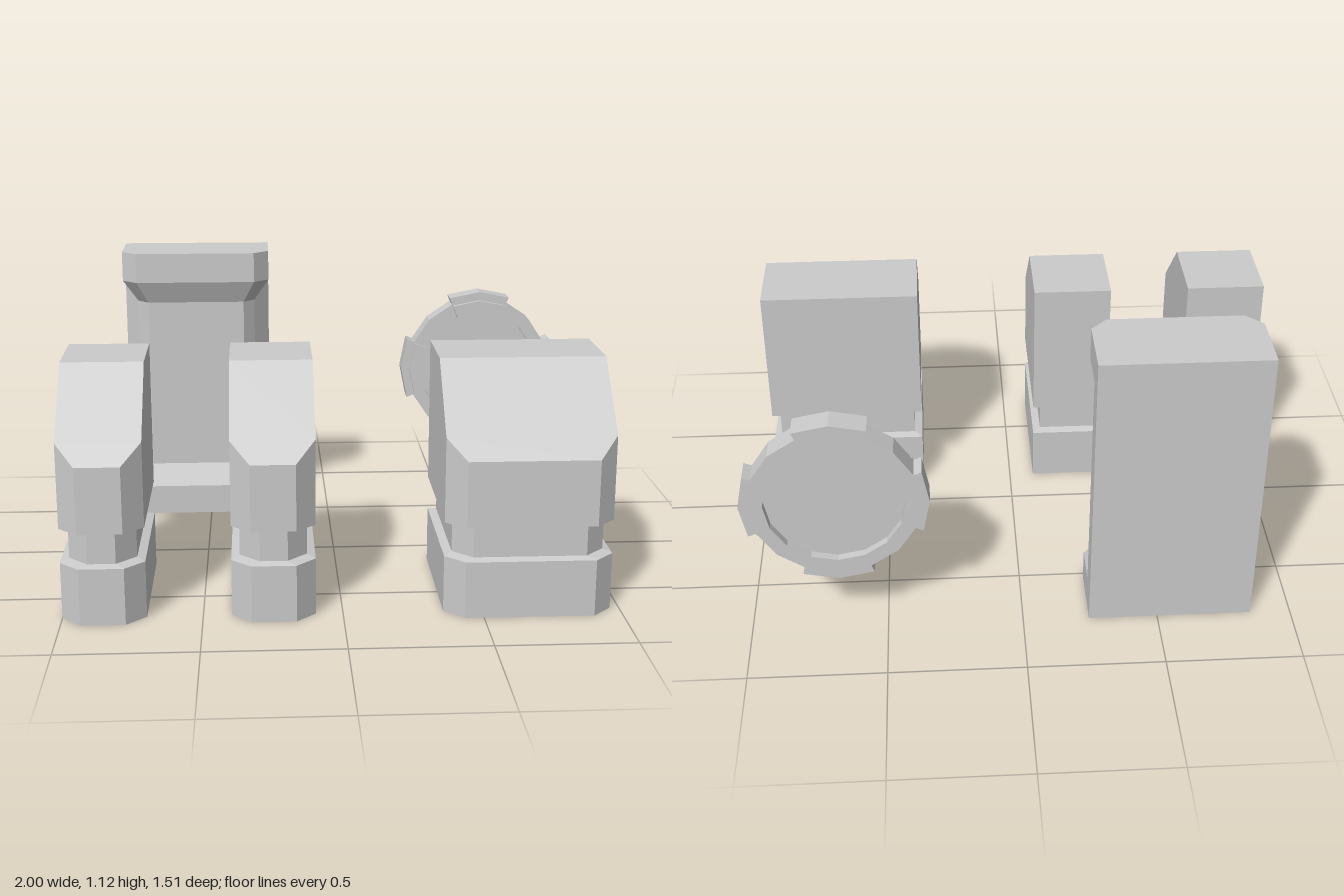
import * as THREE from 'three';

const material = new THREE.MeshStandardMaterial({ color: 0xcccccc, flatShading: true });

function addMesh(parent, name, geometry) {
  const mesh = new THREE.Mesh(geometry, material);
  mesh.name = name;
  parent.add(mesh);
  return mesh;
}

// Loft of mirrored cross-sections. Each ring lists its +x half as [x, y, z], front to back.
function loftMirrored(halves) {
  const m = halves[0].length, n = 2 * m;
  const positions = [], index = [];
  for (const half of halves) {
    const mirrored = half.map(([x, y, z]) => [-x, y, z]).reverse();
    positions.push(...[...half, ...mirrored].flat());
  }
  for (let r = 0; r < halves.length - 1; r++) {
    for (let i = 0; i < n; i++) {
      const a = r * n + i, b = r * n + (i + 1) % n;
      index.push(a, b, b + n, a, b + n, a + n);
    }
  }
  // caps run as strips between mirrored points
  const top = (halves.length - 1) * n;
  for (let i = 0; i < m - 1; i++) {
    const a = i, b = i + 1, c = n - 2 - i, d = n - 1 - i;
    index.push(top + a, top + b, top + c, top + a, top + c, top + d);
    index.push(a, c, b, a, d, c);
  }
  const indexed = new THREE.BufferGeometry();
  indexed.setAttribute('position', new THREE.Float32BufferAttribute(positions, 3));
  indexed.setIndex(index);
  const geometry = indexed.toNonIndexed();
  geometry.computeVertexNormals();
  return geometry;
}

// Block with chamfered front corners, a groove round it and a sloping top
function blockGeometry(halfWidth) {
  const ring = (inset, height) => [
    [halfWidth - 0.07 - inset, 0.755 - inset],
    [halfWidth - inset, 0.685 - inset],
    [halfWidth - inset, 0.45],
    [halfWidth - inset, 0.15 + inset],
  ].map(([x, z]) => [x, height(z), z]);
  const slope = z => 0.88 - Math.max(0, z - 0.45) * (0.3 / 0.305);
  return loftMirrored([
    ring(0, () => 0), ring(0, () => 0.21),
    ring(0.03, () => 0.218), ring(0.03, () => 0.329),
    ring(0, () => 0.337), ring(0, slope),
  ]);
}

// Tall pillar: full section at both ends, narrower column between
function pillarGeometry() {
  const end = [[0.2425, -0.46], [0.3025, -0.52], [0.3025, -0.665], [0.3025, -0.665], [0.3025, -0.755]];
  const column = [[0.1975, -0.5], [0.2425, -0.545], [0.2425, -0.59], [0.3025, -0.665], [0.3025, -0.755]];
  const levels = [[end, 0], [end, 0.12], [column, 0.21], [column, 0.91], [end, 1.0], [end, 1.12]];
  return loftMirrored(levels.map(([section, y]) => section.map(([x, z]) => [x, y, z])));
}

const STEP = Math.PI / 8;
const polar = (r, k) => new THREE.Vector2(r * Math.cos(k * STEP), r * Math.sin(k * STEP));
const extrude = (shape, depth) => new THREE.ExtrudeGeometry(shape, { depth, bevelEnabled: false });

function createDisc() {
  const disc = new THREE.Group();
  disc.name = 'disc';
  disc.position.set(0.665, 0.575, 0);

  // Sixteen-sided rim that steps outwards at four tabs
  const outline = [];
  for (let q = 0; q < 4; q++) {
    const k = q * 4;
    outline.push(polar(0.305, k - 1), polar(0.335, k - 1), polar(0.335, k), polar(0.335, k + 1),
      polar(0.305, k + 1), polar(0.305, k + 2));
  }
  const rim = new THREE.Shape(outline);
  const circle = [...Array(16).keys()].map(k => polar(0.25, k));
  rim.holes.push(new THREE.Path(circle));
  addMesh(disc, 'discRim', extrude(rim, 0.09)).position.z = -0.755;

  // Recessed centre plate
  addMesh(disc, 'discPlate', extrude(new THREE.Shape(circle), 0.025)).position.z = -0.725;

  // Raised lugs on the front of the rim, one per tab
  const lug = extrude(new THREE.Shape([
    polar(0.3, -1), polar(0.3, 0), polar(0.3, 1),
    polar(0.243, 1), polar(0.243, 0), polar(0.243, -1),
  ]), 0.055);
  for (let q = 0; q < 4; q++) {
    const mesh = addMesh(disc, 'discLug', lug);
    mesh.position.z = -0.7;
    mesh.rotation.z = q * Math.PI / 2;
  }
  return disc;
}

export function createModel() {
  const model = new THREE.Group();
  model.name = 'wallPieces';

  const blocks = [['narrowBlockOuter', -0.85, 0.15], ['narrowBlockInner', -0.247, 0.15], ['wideBlock', 0.664, 0.303]];
  for (const [name, x, halfWidth] of blocks) {
    addMesh(model, name, blockGeometry(halfWidth)).position.x = x;
  }
  addMesh(model, 'pillar', pillarGeometry()).position.x = -0.5475;
  model.add(createDisc());
  return model;
}
